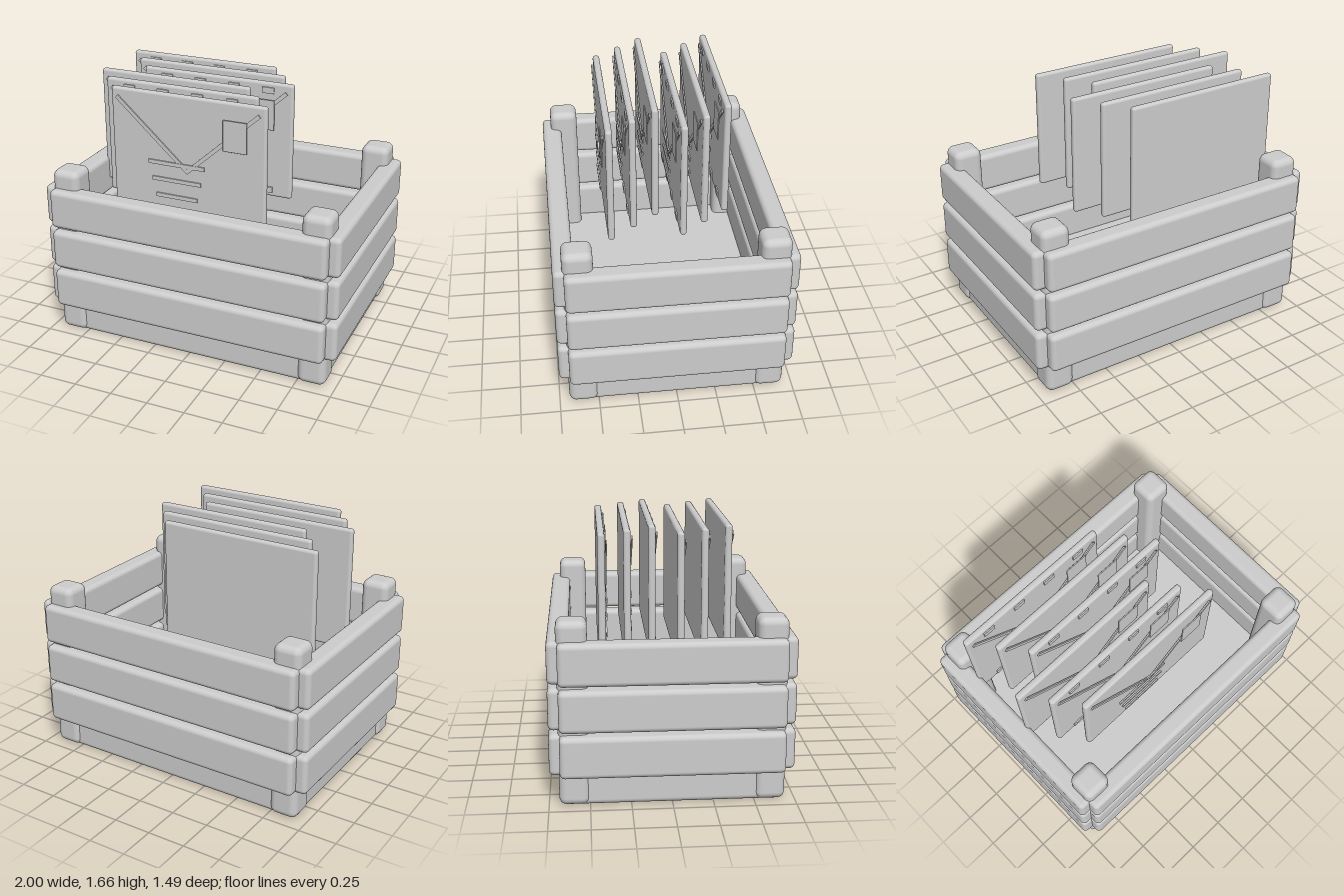
import * as THREE from 'three';
import { RoundedBoxGeometry } from 'three/addons/geometries/RoundedBoxGeometry.js';

export function createModel() {
  const model = new THREE.Group();
  model.name = 'crateOfLetters';
  const grey = new THREE.MeshStandardMaterial({ color: 0xcccccc });
  grey.name = 'plain grey';

  const add = (parent, name, geometry, x, y, z) => {
    const mesh = new THREE.Mesh(geometry, grey);
    mesh.name = name;
    mesh.position.set(x, y, z);
    parent.add(mesh);
    return mesh;
  };

  // Crate: base, corner posts and three rows of slats
  const crate = new THREE.Group();
  crate.name = 'crate';
  model.add(crate);
  add(crate, 'base', new RoundedBoxGeometry(1.84, 0.22, 1.33, 4, 0.035), 0, 0.11, 0);

  const postGeometry = new RoundedBoxGeometry(0.185, 1.15, 0.185, 4, 0.045);
  const longSlat = new RoundedBoxGeometry(1.866, 0.262, 0.13, 4, 0.032);
  const sideSlat = new RoundedBoxGeometry(0.13, 0.262, 1.36, 4, 0.032);
  for (const s of [-1, 1]) {
    for (const t of [-1, 1]) add(crate, 'cornerPost', postGeometry, s * 0.845, 0.58, t * 0.595);
    for (let row = 0; row < 3; row++) {
      const y = 0.33 + row * 0.287;
      add(crate, s > 0 ? 'frontSlat' : 'backSlat', longSlat, 0, y, s * 0.68);
      add(crate, s > 0 ? 'leftSlat' : 'rightSlat', sideSlat, s * 0.935, y, 0);
    }
  }

  // Letters: card with flap lines, stamp and address lines
  const cardGeometry = new RoundedBoxGeometry(1.06, 0.79, 0.044, 3, 0.018);
  const flapLength = Math.hypot(0.48, 0.435) + 0.02;
  const flapAngle = Math.atan2(0.435, 0.48);
  const flapGeometry = new THREE.BoxGeometry(flapLength, 0.026, 0.009);
  const stampGeometry = new RoundedBoxGeometry(0.16, 0.205, 0.009, 2, 0.004);
  const dashGeometry = new THREE.BoxGeometry(0.08, 0.04, 0.009);

  const makeLetter = (dashed) => {
    const letter = new THREE.Group();
    letter.name = 'letter';
    add(letter, 'card', cardGeometry, 0, 0, 0);
    const face = 0.026;
    for (const s of [-1, 1]) {
      add(letter, 'flapLine', flapGeometry, s * 0.24, 0.115, face + 0.005).rotation.z = s * flapAngle;
    }
    add(letter, 'stamp', stampGeometry, 0.33, 0.183, face + 0.012);
    for (let i = 0; i < 3; i++) {
      add(letter, 'addressLine', new THREE.BoxGeometry(0.39 - i * 0.05, 0.026, 0.009),
        -0.075, -0.067 - i * 0.112, face + 0.008);
    }
    // Border dashes along the top and bottom of every second letter
    if (dashed) {
      for (const y of [-0.345, 0.345]) {
        for (let i = 0; i < 4; i++) add(letter, 'borderDash', dashGeometry, -0.36 + i * 0.24, y, face);
      }
    }
    return letter;
  };

  for (let i = 0; i < 6; i++) {
    const letter = makeLetter(i % 2 === 1);
    letter.position.set(-0.12 - (i % 3) * 0.12, 1.265, 0.355 - i * 0.1535);
    model.add(letter);
  }
  return model;
}
